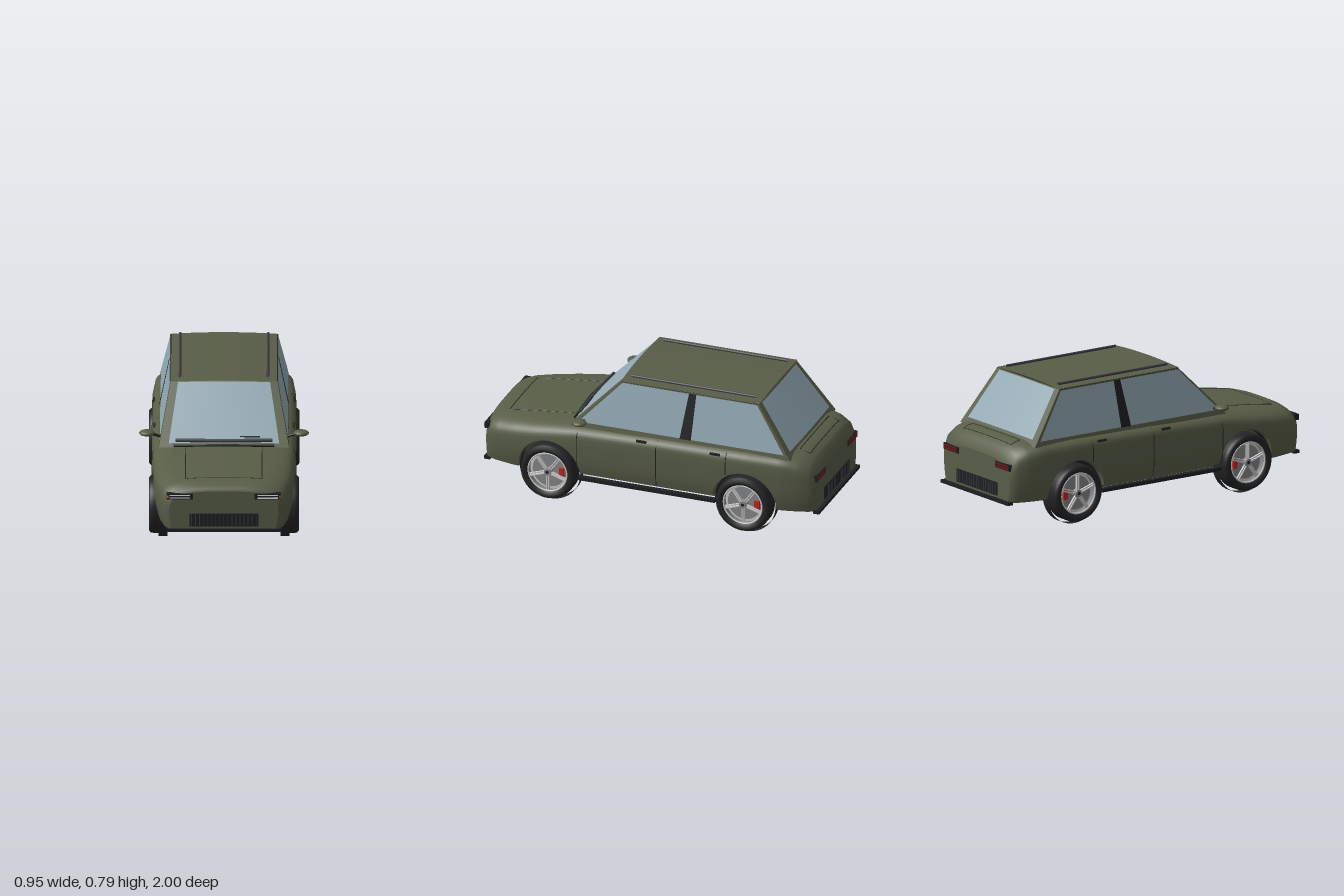
import * as THREE from 'three';
import { toCreasedNormals } from 'three/addons/utils/BufferGeometryUtils.js';

const mat = (color) => new THREE.MeshStandardMaterial({ color, side: THREE.DoubleSide });
const paint = mat(0x585d47), glass = mat(0x92a8b3), black = mat(0x1e1f22), seam = mat(0x24261f);
const rubber = mat(0x242426), alloy = mat(0xd8d8d8), steel = mat(0x85878a), red = mat(0xc0281c);
const tailRed = mat(0x6e1418), white = mat(0xe8eef2), amber = mat(0xe08a20), trim = mat(0x3a3c40);
const V = (x, y, z) => new THREE.Vector3(x, y, z);

function add(parent, name, geo, material, x = 0, y = 0, z = 0) {
  const m = new THREE.Mesh(geo, material);
  m.name = name;
  m.position.set(x, y, z);
  parent.add(m);
  return m;
}
const box = (g, name, m, w, h, d, x, y, z) => add(g, name, new THREE.BoxGeometry(w, h, d), m, x, y, z);
const tube = (g, name, m, pts, r) => add(g, name,
  new THREE.TubeGeometry(new THREE.CatmullRomCurve3(pts, false, 'centripetal'), pts.length * 4, r, 8), m);

// Body stations: z, half width, top height, corner squareness
const KEYS = [
  [-0.98, 0.31, 0.40, 3.2], [-0.97, 0.33, 0.43, 3.4], [-0.94, 0.35, 0.468, 3.6], [-0.88, 0.37, 0.49, 4],
  [-0.8, 0.387, 0.50, 4.6], [-0.6, 0.4, 0.50, 5], [0, 0.402, 0.495, 5], [0.44, 0.4, 0.483, 4.8],
  [0.68, 0.392, 0.458, 4], [0.82, 0.375, 0.443, 3.6], [0.92, 0.352, 0.43, 3.4], [0.965, 0.335, 0.418, 3.2],
  [0.985, 0.32, 0.405, 3.2], [0.992, 0.305, 0.39, 3.2],
];
const WHEEL_Y = 0.18, AXLES = [0.587, -0.577], ARCH = 0.187;

function station(z) {
  let i = 0;
  while (i < KEYS.length - 2 && z > KEYS[i + 1][0]) i++;
  const a = KEYS[i], b = KEYS[i + 1], t = THREE.MathUtils.clamp((z - a[0]) / (b[0] - a[0]), 0, 1);
  const [w, h, n] = [1, 2, 3].map((k) => a[k] + (b[k] - a[k]) * t);
  return { w, h, n, ys: h - 0.13 };
}
function sideX(z, y) {
  const { w, h, n, ys } = station(z);
  if (y > ys) return w * Math.pow(Math.max(0, 1 - Math.pow((y - ys) / (h - ys), n)), 1 / n);
  return y < 0.3 ? w * (1 - 0.06 * ((0.3 - y) / 0.14) ** 2) : w;
}
function topY(z, x) {
  const { w, h, n, ys } = station(z);
  return ys + (h - ys) * Math.pow(Math.max(0, 1 - Math.pow(Math.abs(x) / w, n)), 1 / n);
}
function bottomY(z) {
  let b = z > 0.6 || z < -0.6 ? 0.165 : 0.195;
  for (const c of AXLES) {
    const d = Math.abs(z - c);
    if (d < ARCH) b = Math.max(b, WHEEL_Y + Math.sqrt(ARCH * ARCH - d * d));
  }
  return b;
}
// One closed cross-section, from left sill over the top to right sill
function section(z) {
  const { w, h, n, ys } = station(z), b = bottomY(z), y0 = Math.max(ys, b + 0.002);
  const a0 = Math.asin(Math.min(1, Math.pow((y0 - ys) / (h - ys), n / 2)));
  const half = [];
  for (let k = 0; k < 6; k++) {
    const y = b + (y0 - b) * k / 6;
    half.push([sideX(z, y), y]);
  }
  for (let k = 0; k <= 14; k++) {
    const a = a0 + (Math.PI / 2 - a0) * k / 14;
    half.push([w * Math.pow(Math.max(0, Math.cos(a)), 2 / n), ys + (h - ys) * Math.pow(Math.sin(a), 2 / n)]);
  }
  half[half.length - 1][0] = 0;
  return [...half, ...half.slice(0, -1).reverse().map(([x, y]) => [-x, y])];
}

function buildBody(g) {
  const zs = KEYS.map((k) => k[0]);
  for (let z = -0.95; z < 0.97; z += 0.06) zs.push(z);
  for (const c of AXLES) {
    for (let k = 0; k <= 20; k++) zs.push(c + ARCH * Math.cos(Math.PI * k / 20));
    zs.push(c + ARCH + 0.001, c - ARCH - 0.001);
  }
  zs.sort((a, b) => a - b);
  const pos = [], idx = [], rings = zs.map(section), n = rings[0].length;
  rings.forEach((r, i) => r.forEach(([x, y]) => pos.push(x, y, zs[i])));
  for (let i = 0; i < zs.length - 1; i++) for (let j = 0; j < n; j++) {
    const a = i * n + j, b = i * n + (j + 1) % n;
    idx.push(a, b, b + n, a, b + n, a + n);
  }
  const geo = new THREE.BufferGeometry();
  geo.setAttribute('position', new THREE.Float32BufferAttribute(pos, 3));
  geo.setIndex(idx);
  add(g, 'bodyShell', toCreasedNormals(geo, 0.7), paint);
  for (const [name, i] of [['rearFace', 0], ['frontFace', zs.length - 1]]) {
    const shape = new THREE.Shape(rings[i].map(([x, y]) => new THREE.Vector2(x, y)));
    add(g, name, new THREE.ShapeGeometry(shape), paint, 0, 0, zs[i]);
  }
  box(g, 'floorPan', paint, 0.66, 0.03, 0.8, 0, 0.18, 0.005);
  const well = new THREE.CylinderGeometry(ARCH - 0.002, ARCH - 0.002, 0.6, 32, 1, false, 0, Math.PI);
  add(g, 'rearWheelWell', well, black, 0, WHEEL_Y, AXLES[1]).rotation.z = Math.PI / 2;
}

// Flat or crowned patch over corners a b (bottom) c d (top), limited to a u, v window
function patch(g, name, m, [a, b, c, d], [u0, u1, v0, v1] = [0, 1, 0, 1], lift = 0, crown = 0) {
  const normal = b.clone().sub(a).cross(d.clone().sub(a)).normalize();
  const geo = new THREE.PlaneGeometry(1, 1, 12, 12), p = geo.attributes.position;
  for (let i = 0; i < p.count; i++) {
    const u = u0 + (u1 - u0) * (p.getX(i) + 0.5), v = v0 + (v1 - v0) * (p.getY(i) + 0.5);
    const q = a.clone().lerp(b, u).lerp(d.clone().lerp(c, u), v);
    q.addScaledVector(normal, lift + crown * (1 - (2 * u - 1) ** 2));
    p.setXYZ(i, q.x, q.y, q.z);
  }
  geo.computeVertexNormals();
  add(g, name, geo, m);
}

function buildCabin(g) {
  const fb = (s) => V(s * 0.362, 0.47, 0.47), ft = (s) => V(s * 0.297, 0.763, 0.185);
  const rb = (s) => V(s * 0.356, 0.47, -0.84), rt = (s) => V(s * 0.297, 0.763, -0.63);
  const front = [fb(-1), fb(1), ft(1), ft(-1)], rear = [rb(1), rb(-1), rt(-1), rt(1)];
  const left = [fb(1), rb(1), rt(1), ft(1)], right = [rb(-1), fb(-1), ft(-1), rt(-1)];
  patch(g, 'windshieldFrame', paint, front, undefined, 0, 0.01);
  patch(g, 'windshield', glass, front, [0.07, 0.93, 0.06, 0.985], 0.003, 0.01);
  patch(g, 'rearWindowFrame', paint, rear, undefined, 0, 0.01);
  patch(g, 'rearWindow', glass, rear, [0.06, 0.94, 0.11, 0.98], 0.003, 0.01);
  for (const [side, flip] of [[left, false], [right, true]]) {
    patch(g, 'sideWindowFrame', paint, side);
    patch(g, 'sideWindow', glass, side, [0.015, 0.985, 0.1, 0.975], 0.003);
    patch(g, 'centrePillar', black, side, flip ? [0.452, 0.505, 0.09, 0.985] : [0.495, 0.548, 0.09, 0.985], 0.006);
  }
  patch(g, 'roof', paint, [ft(-1), ft(1), rt(1), rt(-1)], [-0.01, 1.01, -0.005, 1.005], 0.002, 0.01);
  for (const s of [-1, 1]) {
    tube(g, 'roofGutter', seam, [ft(s), rt(s)], 0.003);
    tube(g, 'roofRail', trim, [V(s * 0.245, 0.78, 0.145), V(s * 0.245, 0.78, -0.6)], 0.0075);
  }
}

// Panel seams follow the body surface
function buildSeams(g) {
  const across = (z, w) => Array.from({ length: 9 }, (_, i) => -w + w * i / 4).map((x) => V(x, topY(z, x), z));
  const along = (x, z0, z1) => Array.from({ length: 9 }, (_, i) => z0 + (z1 - z0) * i / 8).map((z) => V(x, topY(z, x), z));
  for (const [name, w, z0, z1] of [['hoodSeam', 0.213, 0.475, 0.885], ['trunkSeam', 0.225, -0.85, -0.91]]) {
    for (const z of [z0, z1]) tube(g, name, seam, across(z, w), 0.0025);
    for (const s of [-1, 1]) tube(g, name, seam, along(s * w, z0, z1), 0.0025);
  }
  for (const s of [-1, 1]) {
    for (const [z, low] of [[0.418, 0.2], [-0.055, 0.2], [-0.47, 0.345]]) {
      const pts = Array.from({ length: 9 }, (_, i) => low + (0.47 - low) * i / 8).map((y) => V(s * sideX(z, y), y, z));
      tube(g, 'doorSeam', seam, pts, 0.0025);
    }
    for (const z of [0.035, -0.405]) box(g, 'doorHandle', seam, 0.012, 0.012, 0.06, s * sideX(z, 0.455), 0.455, z);
    box(g, 'sill', black, 0.03, 0.02, 0.82, s * 0.38, 0.166, 0.005);
  }
}

function buildEnds(g) {
  for (const [end, s, z] of [['front', 1, 0.992], ['rear', -1, -0.98]]) {
    box(g, end + 'Lip', black, 0.64, 0.018, 0.035, 0, 0.162, s * 0.982);
    box(g, end + 'Grille', black, 0.385, 0.075, 0.008, 0, 0.222, z);
    for (let i = -8; i <= 8; i++) box(g, end + 'GrilleSlat', trim, 0.004, 0.065, 0.008, i * 0.0225, 0.222, z + s * 0.002);
  }
  for (const s of [-1, 1]) {
    box(g, 'headlight', black, 0.148, 0.034, 0.03, s * 0.245, 0.361, 0.982);
    for (const y of [0.353, 0.369]) box(g, 'headlightStrip', white, 0.115, 0.006, 0.004, s * 0.245, y, 0.998);
    box(g, 'turnSignal', amber, 0.008, 0.016, 0.004, s * 0.313, 0.361, 0.998);
    box(g, 'taillight', black, 0.14, 0.036, 0.03, s * 0.245, 0.365, -0.97);
    for (const y of [0.357, 0.373]) box(g, 'taillightStrip', tailRed, 0.12, 0.01, 0.004, s * 0.245, y, -0.986);
  }
}

function buildTrim(g) {
  tube(g, 'cowl', black, [V(-0.28, 0.482, 0.472), V(0, 0.488, 0.482), V(0.28, 0.482, 0.472)], 0.007);
  tube(g, 'wiperBar', trim, [V(-0.27, 0.507, 0.45), V(0, 0.507, 0.458), V(0.27, 0.507, 0.45)], 0.011);
  tube(g, 'wiperArm', black, [V(0.09, 0.526, 0.44), V(0.2, 0.523, 0.438)], 0.004);
  for (const s of [-1, 1]) {
    add(g, 'mirror', new THREE.SphereGeometry(1, 24, 16), paint, s * 0.43, 0.53, 0.388).scale.set(0.043, 0.017, 0.04);
    tube(g, 'mirrorStalk', black, [V(s * 0.345, 0.508, 0.39), V(s * 0.4, 0.525, 0.39)], 0.008);
  }
}

// Wheel built along +y, turned so that +y points outward
function buildWheel(s, z) {
  const w = new THREE.Group();
  w.name = 'wheel';
  const profile = [[0.117, 0.315], [0.155, 0.318], [0.163, 0.33], [0.163, 0.39], [0.159, 0.408], [0.148, 0.418], [0.13, 0.418], [0.117, 0.405]];
  add(w, 'tyre', new THREE.LatheGeometry(profile.map(([r, x]) => new THREE.Vector2(r, x)), 48), rubber);
  add(w, 'innerTread', new THREE.CylinderGeometry(0.18, 0.18, 0.05, 48, 1, true), rubber, 0, 0.34, 0);
  add(w, 'rimBarrel', new THREE.CylinderGeometry(0.117, 0.117, 0.09, 40, 1, true), steel, 0, 0.36, 0);
  add(w, 'rimBack', new THREE.CylinderGeometry(0.117, 0.117, 0.004, 40), alloy, 0, 0.365, 0);
  add(w, 'rimEdge', new THREE.TorusGeometry(0.115, 0.005, 8, 48), alloy, 0, 0.405, 0).rotation.x = Math.PI / 2;
  add(w, 'brakeDisc', new THREE.CylinderGeometry(0.098, 0.098, 0.012, 40), steel, 0, 0.375, 0);
  add(w, 'hub', new THREE.CylinderGeometry(0.02, 0.026, 0.026, 24), steel, 0, 0.398, 0);
  add(w, 'hubCap', new THREE.CylinderGeometry(0.009, 0.009, 0.03, 16), black, 0, 0.398, 0);
  for (let i = 0; i < 5; i++) {
    const spoke = new THREE.Group();
    spoke.rotation.y = i * Math.PI * 2 / 5;
    for (const d of [-1, 1]) box(spoke, 'spoke', alloy, 0.1, 0.012, 0.007, 0.065, 0.398, d * 0.006);
    w.add(spoke);
  }
  box(w, 'brakeCaliper', red, 0.055, 0.018, 0.028, 0, 0.385, -0.078);
  w.rotation.z = -s * Math.PI / 2;
  w.position.set(0, WHEEL_Y, z);
  return w;
}

export function createModel() {
  const car = new THREE.Group();
  car.name = 'car';
  for (const [name, build] of Object.entries({ body: buildBody, cabin: buildCabin, seams: buildSeams, ends: buildEnds, trim: buildTrim })) {
    const g = new THREE.Group();
    g.name = name;
    build(g);
    car.add(g);
  }
  for (const z of AXLES) for (const s of [-1, 1]) car.add(buildWheel(s, z));
  return car;
}
